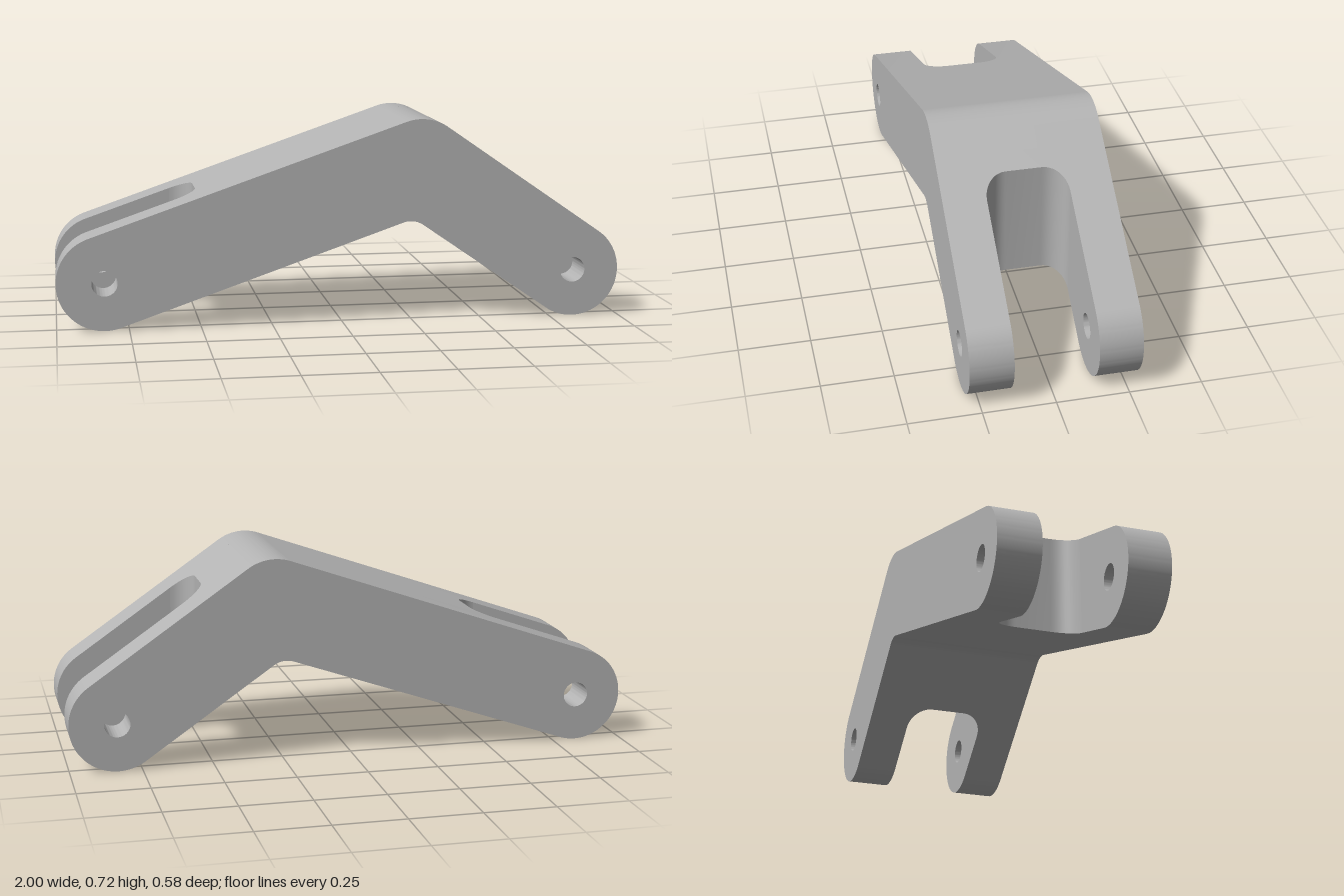
import * as THREE from 'three';
import { toCreasedNormals } from 'three/addons/utils/BufferGeometryUtils.js';

const R = 1 / 6;                  // half width of the arms, end and elbow radius
const HOLE = 0.045;
const HALF = 0.2915;              // half depth of the whole bracket
const SLOT = 0.1425;              // half width of the fork slots
const SLOT_X = 0.5, SLOT_R = 0.08; // slot floor and its corner radius
const END_X = 1 - R;
const elbow = new THREE.Vector2(0.278, 0.551);
const slopeL = Math.atan2(elbow.y - R, elbow.x + END_X);
const slopeR = Math.atan2(elbow.y - R, END_X - elbow.x);
const angL = Math.PI / 2 + slopeL, angR = Math.PI / 2 - slopeR;

// inner fillet under the elbow
const INNER_R = 0.08;
const mid = (angL + angR) / 2;
const drop = (R + INNER_R) / Math.cos((angL - angR) / 2);
const inner = new THREE.Vector2(elbow.x - drop * Math.cos(mid), elbow.y - drop * Math.sin(mid));

// height of a bend made of two straight lines joined by an arc
function bendHeight(x, c, r) {
  const xl = c.x + r * Math.cos(angL), xr = c.x + r * Math.cos(angR);
  if (x < xl) return c.y + r * Math.sin(angL) + (x - xl) * Math.tan(slopeL);
  if (x > xr) return c.y + r * Math.sin(angR) - (x - xr) * Math.tan(slopeR);
  return c.y + Math.sqrt(r * r - (x - c.x) ** 2);
}

// bent side plate with a pin hole at each end
function plateGeometry() {
  const s = new THREE.Shape();
  s.absarc(-END_X, R, R, angL, angL + Math.PI, false);
  s.absarc(inner.x, inner.y, INNER_R, angL, angR, true);
  s.absarc(END_X, R, R, angR - Math.PI, angR, false);
  s.absarc(elbow.x, elbow.y, R, angR, angL, false);
  for (const x of [-END_X, END_X]) {
    s.holes.push(new THREE.Path().absarc(x, R, HOLE, 0, Math.PI * 2, true));
  }
  const g = new THREE.ExtrudeGeometry(s, { depth: HALF - SLOT, bevelEnabled: false, curveSegments: 32 });
  return toCreasedNormals(g, Math.PI / 6);
}

// web between the plates, ending in the rounded slot floors
function webGeometry() {
  const xs = [];
  for (const [c, r] of [[elbow, R], [inner, INNER_R]]) {
    for (let i = 0; i <= 14; i++) xs.push(c.x + r * Math.cos(angL + (angR - angL) * i / 14));
  }
  xs.sort((a, b) => a - b);

  const rows = [];                // [z, half length] across the slot
  for (let i = 0; i <= 10; i++) {
    const a = (i / 10) * Math.PI / 2;
    const z = SLOT - SLOT_R + SLOT_R * Math.sin(a);
    const end = SLOT_X + SLOT_R * (1 - Math.cos(a));
    rows.push([z, end], [-z, end]);
  }
  rows.sort((a, b) => a[0] - b[0]);

  const nx = xs.length + 1, nz = rows.length - 1;
  const g = new THREE.BoxGeometry(1, 1, 1, nx, 1, nz);
  const p = g.attributes.position;
  for (let i = 0; i < p.count; i++) {
    const col = Math.round((p.getX(i) + 0.5) * nx);
    const [z, end] = rows[Math.round((p.getZ(i) + 0.5) * nz)];
    const x = col === 0 ? -end : col === nx ? end : xs[col - 1];
    const y = p.getY(i) > 0 ? bendHeight(x, elbow, R) : bendHeight(x, inner, INNER_R);
    p.setXYZ(i, x, y, z);
  }
  // the two faces against the plates are not needed
  g.setIndex(Array.from(g.index.array).slice(0, g.groups[4].start));
  g.clearGroups();
  return toCreasedNormals(g, Math.PI / 6);
}

export function createModel() {
  const group = new THREE.Group();
  group.name = 'forkedElbowBracket';
  const metal = new THREE.MeshStandardMaterial({ color: 0xb4b4b4 });
  metal.name = 'grey metal';

  const plate = plateGeometry();
  for (const [name, z] of [['frontPlate', SLOT], ['backPlate', -HALF]]) {
    const m = new THREE.Mesh(plate, metal);
    m.name = name;
    m.position.z = z;
    group.add(m);
  }
  const web = new THREE.Mesh(webGeometry(), metal);
  web.name = 'centreWeb';
  group.add(web);
  return group;
}
